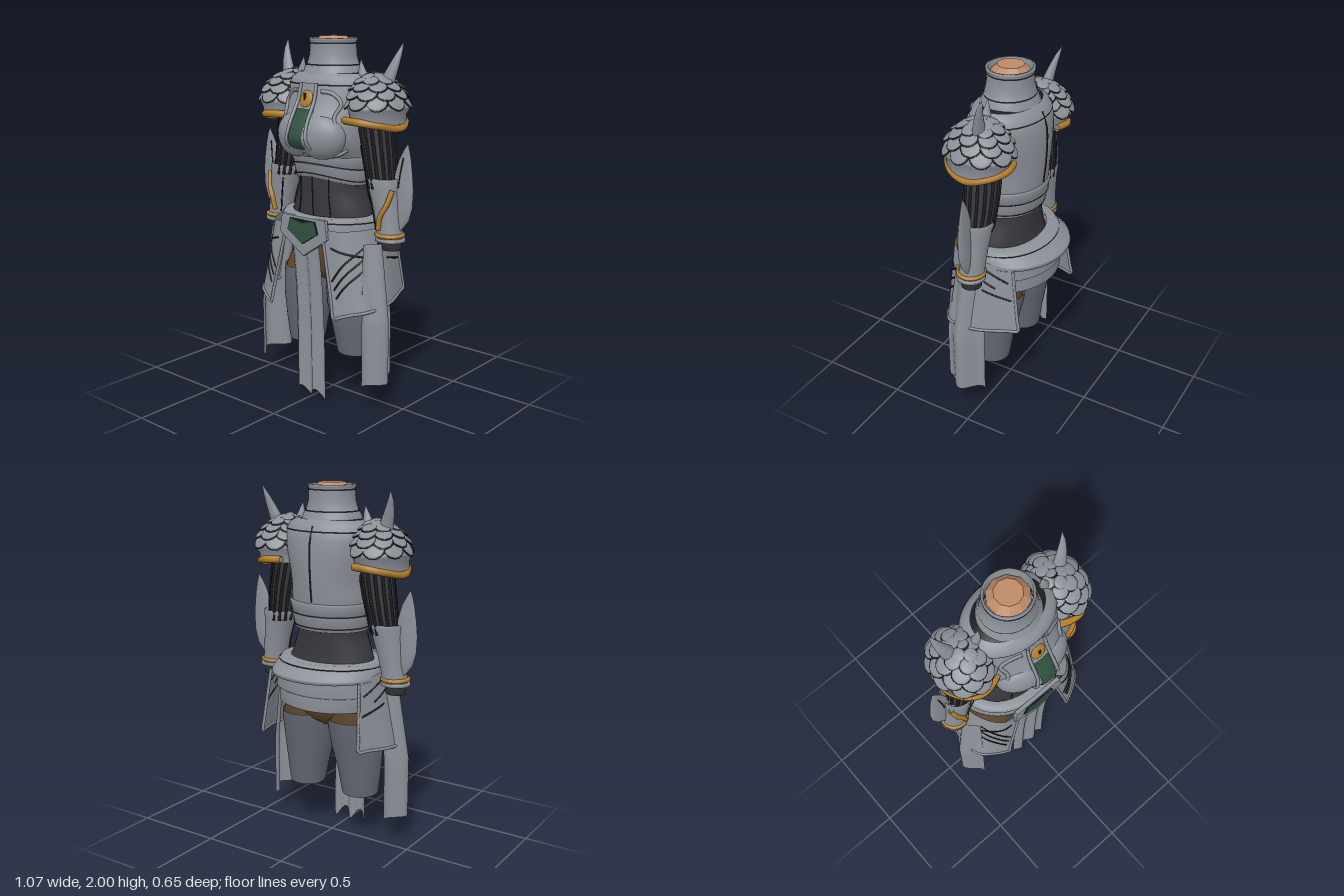
import * as THREE from 'three';
import { mergeVertices } from 'three/addons/utils/BufferGeometryUtils.js';

const paint = (name, color) => {
  const m = new THREE.MeshStandardMaterial({ color, side: THREE.DoubleSide });
  m.name = name;
  return m;
};
const V = (p) => new THREE.Vector3(...p);

export function createModel() {
  const root = new THREE.Group();
  root.name = 'armour';
  const steel = paint('steel', 0x8b9098), stocking = paint('stocking', 0x666973);
  const cloth = paint('darkCloth', 0x39383d), black = paint('black', 0x1d1c20);
  const gold = paint('gold', 0xb47f2a), green = paint('green', 0x2f5140);
  const skin = paint('skin', 0xbe8a68), brown = paint('brown', 0x5f472b);

  const add = (parent, name, geo, mat) => {
    const mesh = new THREE.Mesh(geo, mat);
    mesh.name = name;
    parent.add(mesh);
    return mesh;
  };
  // Smooth grid surface from f(u, v) -> [x, y, z]
  const surf = (f, nu, nv) => {
    const pos = [], idx = [];
    for (let j = 0; j <= nv; j++) for (let i = 0; i <= nu; i++) pos.push(...f(i / nu, j / nv));
    for (let j = 0; j < nv; j++) for (let i = 0; i < nu; i++) {
      const a = j * (nu + 1) + i, d = a + nu + 1;
      idx.push(a, a + 1, d, a + 1, d + 1, d);
    }
    let g = new THREE.BufferGeometry();
    g.setAttribute('position', new THREE.Float32BufferAttribute(pos, 3));
    g.setIndex(idx);
    g = mergeVertices(g, 1e-5);
    g.computeVertexNormals();
    return g;
  };
  // Oval rings, bottom to top: [y, halfWidth, zFront, zBack, centreX]; arc in turns from the front
  const loft = (rows, { seg = 40, from = 0, to = 1, lift = 0 } = {}) => surf((u, v) => {
    const [y, rx, zf, zb, cx = 0] = rows[Math.round(v * (rows.length - 1))];
    const a = (from + (to - from) * u) * Math.PI * 2, s = Math.sin(a), c = Math.cos(a);
    return [cx + rx * s, y + lift * Math.max(0, c) ** 2, (zf + zb) / 2 + c * (zf - zb) / 2];
  }, seg, rows.length - 1);
  const tube = (pts, r, n = 20) =>
    new THREE.TubeGeometry(new THREE.CatmullRomCurve3(pts.map(V)), n, r, 6);
  const plate = (pts, depth, bevel = 0) => new THREE.ExtrudeGeometry(
    new THREE.Shape(pts.map((p) => new THREE.Vector2(...p))),
    { depth, bevelEnabled: bevel > 0, bevelSize: bevel, bevelThickness: bevel, bevelSegments: 2 });
  // Thin dark ring hugging an oval
  const seam = (name, y, rx, zf, zb, lift = 0) =>
    add(root, name, loft([[y - 0.004, rx, zf, zb], [y + 0.004, rx, zf, zb]], { lift }), black);

  // Neck stump and collar
  const stump = new THREE.CylinderGeometry(0.072, 0.11, 0.04, 10).toNonIndexed();
  stump.computeVertexNormals();
  add(root, 'neckTop', stump, skin).position.set(0, 1.98, 0);
  add(root, 'neck', new THREE.CylinderGeometry(0.11, 0.11, 0.16, 10), skin).position.y = 1.88;
  add(root, 'collar', loft([[1.8, 0.17, 0.16, -0.15], [1.83, 0.163, 0.145, -0.14], [1.85, 0.147, 0.135, -0.13],
    [1.9, 0.13, 0.125, -0.122], [1.97, 0.126, 0.122, -0.12], [1.975, 0.131, 0.128, -0.125],
    [1.988, 0.131, 0.128, -0.125], [1.988, 0.118, 0.113, -0.11], [1.93, 0.116, 0.111, -0.108]]), steel);
  seam('collarTopSeam', 1.962, 0.129, 0.125, -0.123);
  seam('collarBaseSeam', 1.85, 0.15, 0.138, -0.133);
  add(root, 'gorgetLining', loft([[1.79, 0.225, 0.15, -0.15], [1.82, 0.14, 0.12, -0.12]]), black);

  // Breastplate
  const chest = [[1.36, 0.225, 0.2, -0.195], [1.4, 0.235, 0.24, -0.2], [1.44, 0.24, 0.29, -0.204],
    [1.48, 0.243, 0.308, -0.208], [1.54, 0.247, 0.285, -0.212], [1.62, 0.255, 0.235, -0.215],
    [1.7, 0.262, 0.203, -0.21], [1.75, 0.262, 0.195, -0.198], [1.785, 0.245, 0.182, -0.18], [1.81, 0.2, 0.145, -0.15]];
  add(root, 'breastplate', loft(chest, { seg: 56 }), steel);
  const chestAt = (x, y, out = 0.006, back = false) => {
    let i = 0;
    while (i < chest.length - 2 && chest[i + 1][0] < y) i++;
    const t = (y - chest[i][0]) / (chest[i + 1][0] - chest[i][0]);
    const [, rx, zf, zb] = chest[i].map((a, k) => a + (chest[i + 1][k] - a) * t);
    const c = Math.sqrt(Math.max(0, 1 - (x / rx) ** 2)) * (back ? -1 : 1);
    return [x, y, (zf + zb) / 2 + c * ((zf - zb) / 2 + out)];
  };
  add(root, 'chestStripe', surf((u, v) => chestAt(-0.046 + 0.092 * u, 1.42 + 0.21 * v, 0.014), 6, 12), green);
  add(root, 'chestPanel', surf((u, v) =>
    chestAt((u - 0.5) * (0.17 - 0.06 * v), 1.4 + 0.36 * v, 0.008), 8, 16), steel);
  const gem = add(root, 'chestMedallion', new THREE.SphereGeometry(1, 24, 12), gold);
  gem.scale.set(0.042, 0.048, 0.014);
  gem.position.set(0, 1.68, 0.218);
  gem.rotation.x = -0.35;
  add(root, 'medallionSlot', new THREE.BoxGeometry(0.01, 0.06, 0.008), black).position.set(0, 1.68, 0.231);
  add(root, 'backSeam', tube([1.38, 1.5, 1.6, 1.7, 1.78].map((y) => chestAt(0, y, 0, true)), 0.005), black);
  seam('gorgetSeam', 1.752, 0.264, 0.197, -0.2);

  // Rib bands, rising at the front
  add(root, 'upperRibBand', loft([[1.3, 0.215, 0.185, -0.185], [1.305, 0.228, 0.197, -0.195],
    [1.36, 0.243, 0.215, -0.207], [1.37, 0.228, 0.2, -0.197]], { lift: 0.02 }), steel);
  add(root, 'lowerRibBand', loft([[1.21, 0.2, 0.165, -0.16], [1.215, 0.215, 0.18, -0.175],
    [1.3, 0.232, 0.2, -0.197], [1.31, 0.22, 0.19, -0.185]], { lift: 0.045 }), steel);
  seam('ribSeam', 1.302, 0.233, 0.202, -0.199, 0.035);
  seam('ribEdgeSeam', 1.235, 0.222, 0.187, -0.184, 0.045);

  // Waist and hips
  add(root, 'waist', loft([[0.98, 0.26, 0.17, -0.17], [1.05, 0.252, 0.17, -0.155], [1.1, 0.234, 0.172, -0.155],
    [1.15, 0.215, 0.174, -0.156], [1.2, 0.2, 0.175, -0.158], [1.32, 0.2, 0.18, -0.17]]), cloth);
  for (const x of [-0.1, 0, 0.1])
    add(root, 'waistSeam', tube([[x * 1.15, 1.04, 0.17 - x * x * 1.4], [x, 1.15, 0.175 - x * x * 1.9],
      [x, 1.28, 0.179 - x * x * 1.9]], 0.003), black);
  add(root, 'hips', loft([[0.66, 0.03, 0.06, -0.06], [0.7, 0.17, 0.13, -0.12], [0.76, 0.27, 0.16, -0.16],
    [0.86, 0.285, 0.165, -0.185], [1.0, 0.265, 0.17, -0.17]]), brown);

  // Belt and the lames behind it
  add(root, 'belt', loft([[0.965, 0.31, 0.235, -0.305], [0.965, 0.325, 0.25, -0.33], [0.985, 0.32, 0.25, -0.325],
    [1.03, 0.308, 0.245, -0.25], [1.05, 0.295, 0.235, -0.24], [1.05, 0.25, 0.185, -0.18]], { seg: 56 }), steel);
  seam('beltSeam', 1.028, 0.31, 0.247, -0.256);
  add(root, 'middleLame', loft([[0.875, 0.3, 0.21, -0.27], [0.885, 0.31, 0.22, -0.283], [0.975, 0.3, 0.21, -0.275]],
    { from: 0.24, to: 0.76 }), steel);
  add(root, 'lowerLame', loft([[0.79, 0.285, 0.2, -0.255], [0.8, 0.292, 0.205, -0.268], [0.89, 0.295, 0.2, -0.265]],
    { from: 0.3, to: 0.7 }), steel);

  // Belt emblem
  add(root, 'emblemFrame', plate([[-0.15, 1.045], [0.15, 1.045], [0.165, 0.95], [0, 0.84], [-0.165, 0.95]],
    0.014, 0.006), steel).position.z = 0.235;
  add(root, 'emblemRim', plate([[-0.09, 1.037], [0.09, 1.037], [0.11, 0.97], [0, 0.9], [-0.11, 0.97]],
    0.006), black).position.z = 0.252;
  add(root, 'emblem', plate([[-0.085, 1.035], [0, 1.02], [0.085, 1.035], [0.105, 0.97], [0, 0.906], [-0.105, 0.97]],
    0.008), green).position.z = 0.254;

  // Front cloth with vertical folds
  add(root, 'frontCloth', surf((u, v) => {
    const low = 0.028 - 0.028 * Math.cos((u - 0.45) * 14);
    return [(u - 0.5) * (0.225 - 0.02 * v), low + (0.93 - low) * v,
      0.196 + 0.045 * v ** 3 + (0.018 - 0.006 * v) * Math.cos(u * 14 + 3.6)];
  }, 36, 12), steel);

  // One side, mirrored for the other
  const buildSide = (sign) => {
    const side = new THREE.Group();
    side.name = sign > 0 ? 'leftSide' : 'rightSide';
    const part = (name, geo, mat) => add(side, name, geo, mat);

    // Leg
    const leg = [[0.27, 0.1, 0.12, -0.08, 0.18], [0.28, 0.104, 0.124, -0.084, 0.18], [0.4, 0.122, 0.142, -0.1, 0.175],
      [0.55, 0.146, 0.165, -0.13, 0.162], [0.66, 0.152, 0.17, -0.155, 0.156], [0.72, 0.15, 0.167, -0.163, 0.155],
      [0.8, 0.13, 0.13, -0.16, 0.155]];
    part('stocking', loft(leg.slice(0, 6)), stocking);
    part('legLining', loft(leg.map(([y, r, f, b, c]) => [y, r - 0.01, f - 0.01, b + 0.01, c])), brown);

    // Breast cup and chest trims
    const cup = part('breastCup', new THREE.SphereGeometry(1, 28, 18), steel);
    cup.scale.set(0.135, 0.12, 0.085);
    cup.position.set(0.09, 1.485, 0.2);
    cup.rotation.y = 0.3;
    part('chestRail', tube([[0.052, 1.76], [0.056, 1.68], [0.06, 1.54], [0.07, 1.46], [0.08, 1.41]]
      .map(([x, y]) => chestAt(x, y, 0.012)), 0.01), steel);
    part('chestTrim', tube([[0.08, 1.72], [0.14, 1.71], [0.185, 1.66], [0.17, 1.59], [0.19, 1.53]]
      .map(([x, y]) => chestAt(x, y, 0.002)), 0.011), steel);
    part('cupTrim', tube([[0.08, 1.41], [0.12, 1.385], [0.17, 1.39], [0.215, 1.42]]
      .map(([x, y]) => chestAt(x, y, 0.012)), 0.009), steel);

    // Skirt panel wrapped around the hip
    const top = new THREE.CatmullRomCurve3([[0.125, 1, 0.243], [0.23, 1, 0.225], [0.315, 1, 0.1],
      [0.325, 1, -0.04], [0.29, 0.97, -0.18]].map(V));
    const hem = new THREE.CatmullRomCurve3([[0.23, 0.53, 0.272], [0.3, 0.555, 0.24], [0.385, 0.575, 0.17],
      [0.395, 0.585, 0], [0.32, 0.61, -0.23]].map(V));
    const skirtAt = (u, v) => hem.getPoint(u).lerp(top.getPoint(u), v).toArray();
    part('skirtPanel', surf((u, v) => skirtAt(u, v), 28, 10), steel);
    const edge = [];
    for (let i = 0; i <= 6; i++) edge.push(skirtAt(0, 1 - i / 6));
    for (let i = 1; i <= 14; i++) edge.push(skirtAt(i / 14, 0));
    for (let i = 1; i <= 6; i++) edge.push(skirtAt(1, i / 6));
    part('skirtTrim', tube(edge, 0.009, 70), steel);
    for (const [u0, v0, u1, v1] of [[0.46, 0.78, 0.06, 0.42], [0.48, 0.66, 0.08, 0.32], [0.5, 0.54, 0.1, 0.22],
      [0.5, 0.66, 0.1, 0.8], [0.62, 0.82, 0.85, 0.66], [0.7, 0.92, 0.95, 0.78], [0.75, 0.6, 0.97, 0.5]])
      part('skirtSlash', tube([0, 0.25, 0.5, 0.75, 1].map((t) =>
        skirtAt(u0 + (u1 - u0) * t, v0 + (v1 - v0) * t)), 0.005), black);

    // Hanging side cloth
    part('sideCloth', surf((u, v) => {
      const y = 0.16 + 0.77 * v, k = Math.max(0, (y - 0.5) / 0.43);
      const zf = 0.2 - 0.05 * k, zb = -0.045 + 0.015 * k;
      return [0.408 - 0.05 * k + (0.042 - 0.015 * k) * Math.cos(u * 7 + 3), y, zf + (zb - zf) * u];
    }, 30, 16), steel);

    // Arm
    const sleeve = [[1.22, 0.07, 0.08, -0.08, 0.34], [1.4, 0.08, 0.085, -0.098, 0.31], [1.6, 0.09, 0.09, -0.095, 0.275]];
    part('sleeve', loft(sleeve), cloth);
    for (let i = 0; i < 14; i++) {
      const a = i / 14 * Math.PI * 2;
      part('sleeveRib', tube(sleeve.map(([y, r, f, b, c]) =>
        [c + r * Math.sin(a), y, (f + b) / 2 + Math.cos(a) * (f - b) / 2]), 0.009, 6), black);
    }
    part('bracer', loft([[0.94, 0.072, 0.08, -0.062, 0.403], [1.0, 0.069, 0.076, -0.062, 0.396],
      [1.1, 0.075, 0.077, -0.07, 0.38], [1.22, 0.088, 0.085, -0.085, 0.357], [1.265, 0.098, 0.09, -0.095, 0.35],
      [1.275, 0.09, 0.083, -0.088, 0.35]]), steel);
    part('wristCuff', loft([[0.935, 0.06, 0.06, -0.05, 0.405], [0.94, 0.08, 0.086, -0.068, 0.405],
      [0.955, 0.08, 0.086, -0.068, 0.405], [0.96, 0.07, 0.076, -0.06, 0.404]]), steel);
    part('wristBand', loft([[0.962, 0.07, 0.077, -0.06, 0.402], [0.968, 0.081, 0.09, -0.07, 0.402],
      [0.98, 0.081, 0.09, -0.07, 0.401], [0.986, 0.07, 0.077, -0.06, 0.4]]), gold);
    part('wrist', loft([[0.89, 0, 0.005, 0.005, 0.41], [0.895, 0.055, 0.06, -0.05, 0.41], [0.96, 0.06, 0.065, -0.05, 0.405]]), cloth);
    part('bracerStrip', tube([[0.44, 1.22, 0.045], [0.42, 1.14, 0.07], [0.39, 1.08, 0.083], [0.375, 1.01, 0.078]], 0.015), gold);
    part('bracerSeam', tube([[0.31, 1.2, 0.078], [0.33, 1.1, 0.067], [0.345, 1.0, 0.06]], 0.004), black);
    // Lens-shaped arm fin
    part('armFin', loft([[0.995, 0.01, 0.01, -0.01, 0.45], [1.06, 0.046, 0.014, -0.022, 0.466],
      [1.13, 0.058, 0.016, -0.024, 0.474], [1.22, 0.062, 0.014, -0.022, 0.475], [1.3, 0.056, 0.01, -0.02, 0.474],
      [1.38, 0.038, 0.002, -0.016, 0.481], [1.43, 0.018, -0.004, -0.012, 0.489], [1.465, 0, -0.01, -0.01, 0.495]],
      { seg: 24 }), steel);
    part('finSlot', tube([[0.475, 1.39, 0.001], [0.462, 1.31, 0.008], [0.452, 1.23, 0.011]], 0.004), black);

    // Shoulder guard
    part('shoulderPlate', loft([[1.56, 0.136, 0.178, -0.165, 0.312], [1.6, 0.133, 0.178, -0.165, 0.312],
      [1.635, 0.146, 0.192, -0.184, 0.314], [1.65, 0.148, 0.195, -0.187, 0.314], [1.69, 0.13, 0.17, -0.165, 0.31]]), steel);
    part('shoulderRim', tube([[0.19, 1.575, 0.145], [0.25, 1.577, 0.172], [0.33, 1.574, 0.177], [0.41, 1.558, 0.11],
      [0.441, 1.538, 0], [0.41, 1.558, -0.1], [0.33, 1.578, -0.162], [0.23, 1.582, -0.15]], 0.02, 48), gold);
    const dome = [[1.675, 0.128, 0.165, -0.16, 0.31], [1.72, 0.112, 0.145, -0.14, 0.305], [1.757, 0.09, 0.115, -0.11, 0.297],
      [1.788, 0.055, 0.07, -0.07, 0.285], [1.802, 0, 0, 0, 0.278]];
    part('shoulderDome', loft(dome), black);
    // Overlapping scales in rows, each on a dark backing
    [[0, 9, 0.056], [0.85, 9, 0.052], [1.7, 8, 0.047], [2.5, 7, 0.04], [3.2, 5, 0.034], [3.9, 1, 0.028]].forEach(([row, n, r], k) => {
      const i = Math.min(3, Math.floor(row)), t = row - i;
      const [y, rx, zf, zb, cx] = dome[i].map((a, q) => a + (dome[i + 1][q] - a) * t);
      for (let j = 0; j < n; j++) {
        const a = (j + (k % 2) / 2) / n * Math.PI * 2;
        const p = new THREE.Vector3(cx + rx * Math.sin(a), y + 0.006, (zf + zb) / 2 + Math.cos(a) * (zf - zb) / 2);
        const out = new THREE.Vector3(Math.sin(a), 0.75 + 0.5 * k, Math.cos(a)).normalize();
        for (const [name, size, off, mat] of [['scaleBacking', r + 0.005, 0, black], ['scale', r, 0.005, steel]]) {
          const s = add(side, name, new THREE.SphereGeometry(1, 14, 8), mat);
          s.scale.set(size, size, 0.008);
          s.position.copy(p).addScaledVector(out, off);
          s.lookAt(s.position.clone().add(out));
        }
      }
    });
    part('shoulderHorn', loft([[1.74, 0.046, 0.015, -0.055, 0.335], [1.79, 0.04, 0.005, -0.055, 0.352],
      [1.86, 0.029, -0.02, -0.062, 0.377], [1.92, 0.016, -0.045, -0.072, 0.395], [1.975, 0, -0.08, -0.08, 0.406]], { seg: 16 }), steel);
    part('shoulderSpike', loft([[1.77, 0.035, 0.045, -0.02, 0.225], [1.83, 0.02, 0.032, 0, 0.21],
      [1.885, 0, 0.015, 0.015, 0.2]], { seg: 12 }), steel);
    side.scale.x = sign;
    root.add(side);
  };
  buildSide(1);
  buildSide(-1);
  return root;
}
